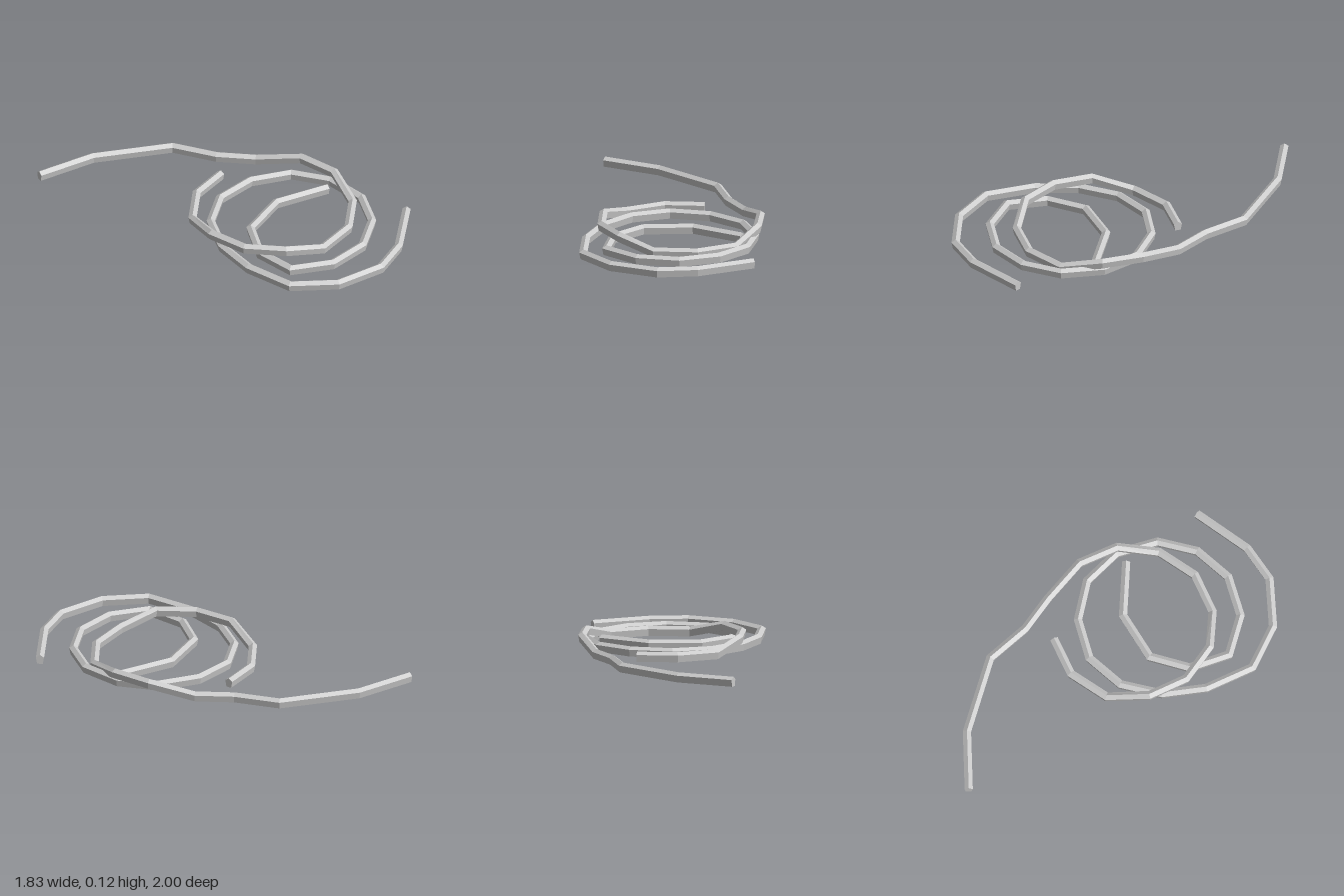
import * as THREE from 'three';

const LOW = 0, HIGH = 0.06; // a strand rests on the ground or on the strand below it

// Five-sided section [sideways, up]: flat base, leaning sides, ridged top
const SECTION = [[-0.018, 0], [0.018, 0], [0.026, 0.044], [0, 0.062], [-0.026, 0.044]];

// Mitred sweep of the section along points [x, z, height]
function strandGeometry(path) {
  const n = SECTION.length;
  const points = path.map(([x, z]) => new THREE.Vector2(x, z));
  const rings = path.map(([x, z, y = LOW], i) => {
    const before = points[Math.max(i - 1, 0)], here = points[i];
    const after = points[Math.min(i + 1, points.length - 1)];
    const dirIn = (i ? here.clone().sub(before) : after.clone().sub(here)).normalize();
    const dirOut = (i < points.length - 1 ? after.clone().sub(here) : dirIn.clone()).normalize();
    const t = dirIn.clone().add(dirOut).normalize();
    const mitre = 1 / t.dot(dirIn);
    return SECTION.map(([s, h]) => [x - t.y * s * mitre, y + h, z + t.x * s * mitre]);
  });

  const positions = [];
  const tri = (a, b, c) => positions.push(...a, ...b, ...c);
  for (let i = 0; i < rings.length - 1; i++) {
    for (let j = 0; j < n; j++) {
      const k = (j + 1) % n;
      tri(rings[i][j], rings[i + 1][j], rings[i][k]);
      tri(rings[i][k], rings[i + 1][j], rings[i + 1][k]);
    }
  }
  // End caps
  const first = rings[0], last = rings[rings.length - 1];
  for (let j = 1; j < n - 1; j++) {
    tri(first[0], first[j], first[j + 1]);
    tri(last[0], last[j + 1], last[j]);
  }

  const geometry = new THREE.BufferGeometry();
  geometry.setAttribute('position', new THREE.Float32BufferAttribute(positions, 3));
  geometry.computeVertexNormals();
  return geometry;
}

// Strand with the long loose tail, lifted where it crosses the other one
const TAIL_STRAND = [
  [-0.92, -0.976, 0.003], [-0.53, -0.976], [-0.04, -0.815], [0.15, -0.59], [0.35, -0.44],
  [0.56, -0.235, HIGH], [0.66, 0.005, HIGH], [0.64, 0.27], [0.48, 0.49], [0.23, 0.595],
  [-0.025, 0.57, HIGH], [-0.235, 0.415, HIGH], [-0.34, 0.18, HIGH],
  [-0.32, -0.09], [-0.16, -0.31], [0.075, -0.41],
];

// Strand spiralling outwards flat on the ground
const SPIRAL_STRAND = [
  [0.58, 0.06], [0.22, 0.03], [-0.06, 0.19], [-0.14, 0.44], [-0.06, 0.69], [0.2, 0.77],
  [0.46, 0.70], [0.64, 0.51], [0.71, 0.26], [0.64, 0], [0.46, -0.19], [0.2, -0.255],
  [-0.06, -0.19], [-0.24, 0], [-0.31, 0.26], [-0.28, 0.54], [-0.15, 0.835],
  [0.12, 0.973], [0.44, 0.96], [0.65, 0.825], [0.89, 0.515],
];

export function createModel() {
  const group = new THREE.Group();
  group.name = 'coiledRope';
  const material = new THREE.MeshStandardMaterial({ color: 0xcccccc, flatShading: true });
  for (const [name, path] of [['tailStrand', TAIL_STRAND], ['spiralStrand', SPIRAL_STRAND]]) {
    const mesh = new THREE.Mesh(strandGeometry(path), material);
    mesh.name = name;
    group.add(mesh);
  }
  return group;
}
